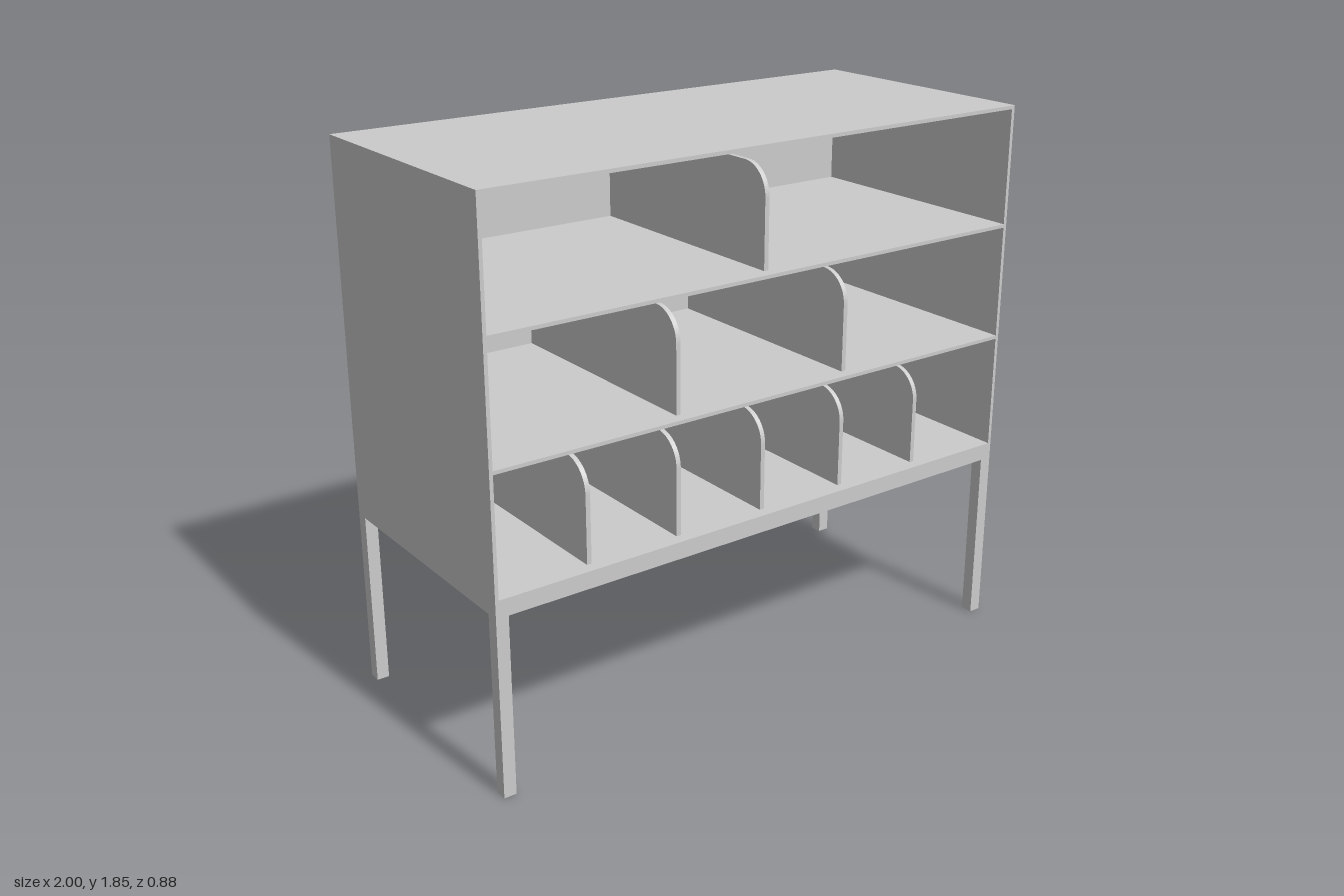
import * as THREE from 'three';

const material = new THREE.MeshStandardMaterial({ color: 0xcccccc });

// Overall sizes
const W = 2, D = 0.885, TOP = 1.845;
const LEG = 0.042, FRAME_TOP = 0.64, FRAME_H = 0.04;
const PANEL = 0.012;

export function createModel() {
  const model = new THREE.Group();
  model.name = 'shelfCabinet';

  // Box given by its size and centre
  const box = (parent, name, w, h, d, x, y, z) => {
    const mesh = new THREE.Mesh(new THREE.BoxGeometry(w, h, d), material);
    mesh.name = name;
    mesh.position.set(x, y, z);
    parent.add(mesh);
  };

  // Base: four square legs joined by a rail frame
  const base = new THREE.Group();
  base.name = 'base';
  model.add(base);
  const legH = FRAME_TOP - FRAME_H, railY = FRAME_TOP - FRAME_H / 2;
  for (const s of [-1, 1]) {
    for (const t of [-1, 1]) {
      box(base, 'leg', LEG, legH, LEG, s * (W - LEG) / 2, legH / 2, t * (D - LEG) / 2);
    }
    box(base, 'longRail', W, FRAME_H, LEG, 0, railY, s * (D - LEG) / 2);
    box(base, 'sideRail', LEG, FRAME_H, D - 2 * LEG, s * (W - LEG) / 2, railY, 0);
  }

  // Cabinet shell, open at the front
  const cabinet = new THREE.Group();
  cabinet.name = 'cabinet';
  model.add(cabinet);
  const bodyH = TOP - FRAME_TOP, bodyY = (TOP + FRAME_TOP) / 2;
  const innerW = W - 2 * PANEL, innerD = D - PANEL;
  for (const s of [-1, 1]) {
    box(cabinet, 'sidePanel', PANEL, bodyH, D, s * (W - PANEL) / 2, bodyY, 0);
  }
  box(cabinet, 'backPanel', innerW, bodyH, PANEL, 0, bodyY, -(D - PANEL) / 2);
  box(cabinet, 'topPanel', innerW, PANEL, innerD, 0, TOP - PANEL / 2, PANEL / 2);

  // Divider: upright board with a rounded upper front corner
  const height = 0.325, radius = 0.1, thickness = 0.016;
  const back = -D / 2 + PANEL, front = D / 2 - 0.04;
  const profile = new THREE.Shape();
  profile.moveTo(back, 0);
  profile.lineTo(front, 0);
  profile.lineTo(front, height - radius);
  profile.absarc(front - radius, height - radius, radius, 0, Math.PI / 2, false);
  profile.lineTo(back, height);
  profile.closePath();
  const dividerGeometry = new THREE.ExtrudeGeometry(profile, {
    depth: thickness, bevelEnabled: false, curveSegments: 12,
  });
  dividerGeometry.rotateY(-Math.PI / 2);
  dividerGeometry.translate(thickness / 2, 0, 0);

  // Floors of the three rows, each with its dividers
  const rows = [
    { name: 'bottomPanel', floor: 0.657, thick: 0.017, xs: [-0.656, -0.328, 0, 0.328, 0.656] },
    { name: 'middleShelf', floor: 1.056, thick: PANEL, xs: [-0.328, 0.328] },
    { name: 'upperShelf', floor: 1.448, thick: PANEL, xs: [0] },
  ];
  for (const { name, floor, thick, xs } of rows) {
    box(cabinet, name, innerW, thick, innerD, 0, floor - thick / 2, PANEL / 2);
    for (const x of xs) {
      const divider = new THREE.Mesh(dividerGeometry, material);
      divider.name = 'divider';
      divider.position.set(x, floor, 0);
      cabinet.add(divider);
    }
  }

  return model;
}
